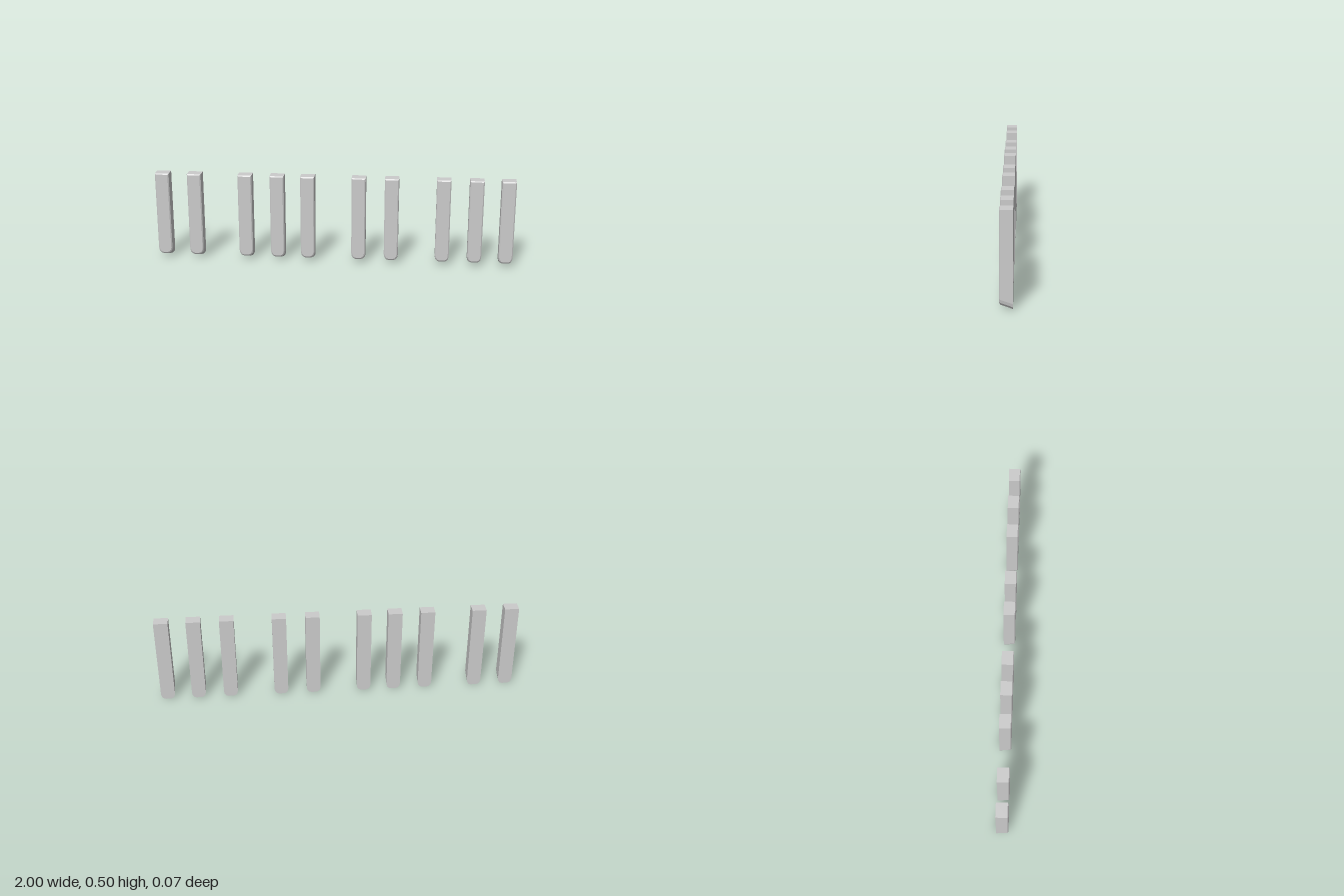
import * as THREE from 'three';

// Convex outline of a key: square top, rounded lower corners, counter-clockwise from +z
function section(z, halfWidth, top, bottom, rx, ry) {
  const steps = 3;
  const points = [[halfWidth, top, z], [-halfWidth, top, z]];
  const corner = [];
  for (let i = 0; i <= steps; i++) {
    const a = (i / steps) * Math.PI / 2;
    corner.push([halfWidth - rx * (1 - Math.cos(a)), bottom + ry * (1 - Math.sin(a))]);
  }
  corner.forEach(([x, y]) => points.push([-x, y, z]));
  corner.reverse().forEach(([x, y]) => points.push([x, y, z]));
  return points;
}

// Joins the sections from back to front and closes both ends
function loft(sections) {
  const positions = [];
  const tri = (a, b, c) => positions.push(...a, ...b, ...c);
  const n = sections[0].length;
  for (let s = 0; s < sections.length - 1; s++) {
    const a = sections[s], b = sections[s + 1];
    for (let i = 0; i < n; i++) {
      const j = (i + 1) % n;
      tri(a[i], a[j], b[j]);
      tri(a[i], b[j], b[i]);
    }
  }
  const back = sections[0], front = sections[sections.length - 1];
  for (let i = 1; i < n - 1; i++) {
    tri(back[0], back[i + 1], back[i]);
    tri(front[0], front[i], front[i + 1]);
  }
  const geometry = new THREE.BufferGeometry();
  geometry.setAttribute('position', new THREE.Float32BufferAttribute(positions, 3));
  geometry.computeVertexNormals();
  return geometry;
}

export function createModel() {
  const group = new THREE.Group();
  group.name = 'blackKeys';
  const material = new THREE.MeshStandardMaterial({ color: 0xcccccc, flatShading: true });

  // Sloping lower end, with a narrow bevel around the front face
  const keyGeometry = loft([
    section(-0.033, 0.039, 0.495, 0, 0.025, 0.033),
    section(0.028, 0.039, 0.495, 0.022, 0.025, 0.033),
    section(0.033, 0.033, 0.489, 0.03, 0.021, 0.027),
  ]);

  // Keys in groups of two and three
  const centres = [-0.961, -0.78, -0.495, -0.315, -0.145, 0.14, 0.323, 0.608, 0.788, 0.961];
  centres.forEach((x, i) => {
    const key = new THREE.Mesh(keyGeometry, material);
    key.name = `blackKey${i + 1}`;
    key.position.x = x;
    group.add(key);
  });
  return group;
}
